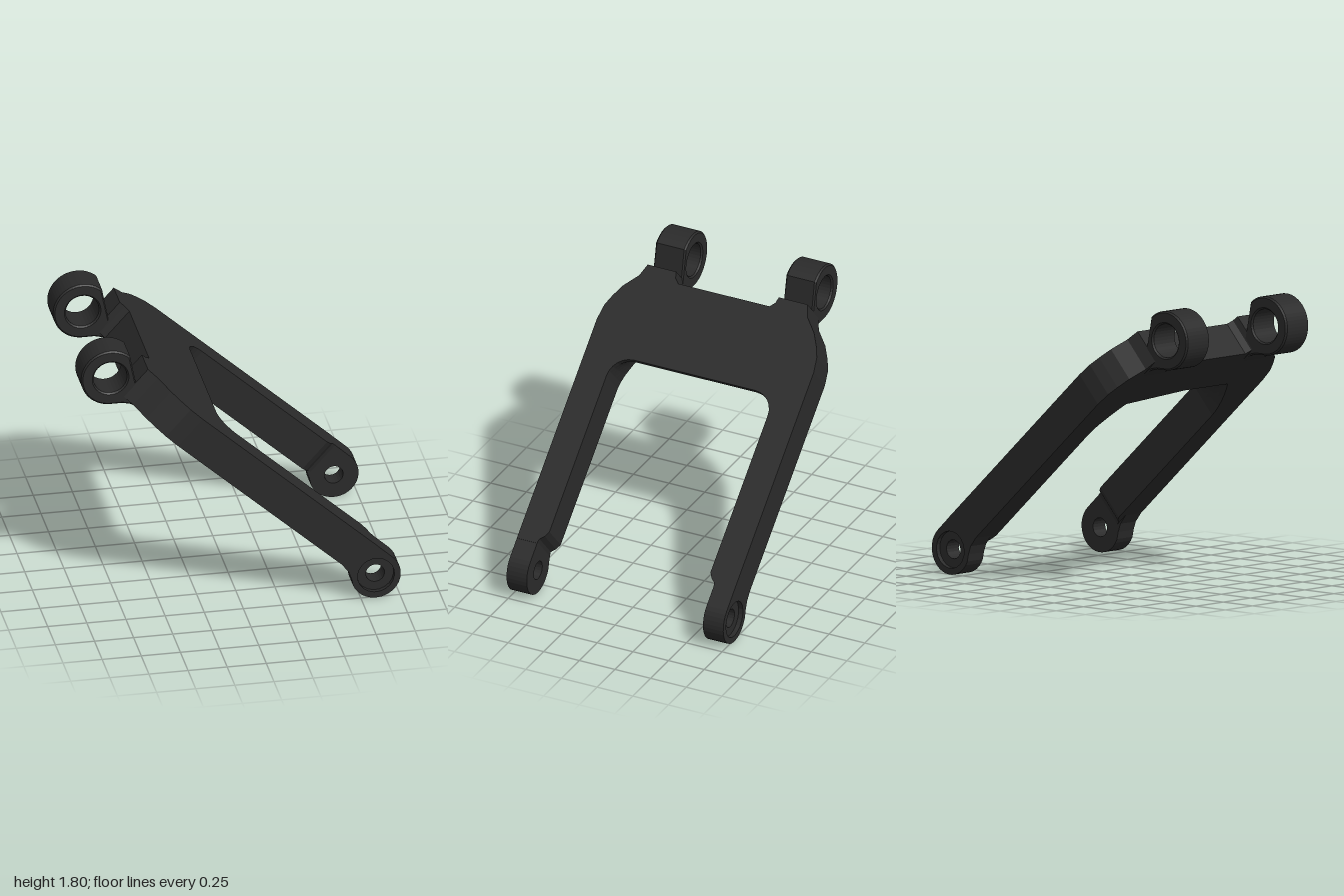
import * as THREE from 'three';

const material = new THREE.MeshStandardMaterial({ color: 0x2a2a2a, flatShading: true });

// Arm frame: x runs down the slope, y is normal to the slab, z is across.
const TOP = 0.85, BOTTOM = 0.615, SLOPE = -0.735;
const UPPER = { x: -1.692, y: 0.662, r: 0.187, bore: 0.107 };
const LOWER = { x: 0.516, y: 0.69, r: 0.158, bore: 0.06, recess: 0.118 };

function add(parent, name, geometry) {
  const mesh = new THREE.Mesh(geometry, material);
  mesh.name = name;
  parent.add(mesh);
  return mesh;
}

// Extrudes a side outline across z between z0 and z1, mirrored when side is -1
function acrossZ(shape, z0, z1, side, bevel = 0, curveSegments = 16) {
  const geometry = new THREE.ExtrudeGeometry(shape, {
    depth: z1 - z0 - 2 * bevel, curveSegments,
    bevelEnabled: bevel > 0, bevelSize: bevel, bevelThickness: bevel,
    bevelOffset: -bevel, bevelSegments: 1,
  });
  return geometry.translate(0, 0, (side > 0 ? z0 : -z1) + bevel);
}

function bore(shape, end, radius) {
  const hole = new THREE.Path();
  hole.absarc(end.x, end.y, radius, 0, Math.PI * 2, true);
  shape.holes.push(hole);
  return shape;
}

// U-shaped plan: two arms, rounded shoulders and the bridge
function frameGeometry() {
  const edge = -0.916, inner = 0.565, r = 0.14;
  const half = [
    [-1.468, 0.32], [-1.5, 0.35], [-1.54, 0.36], [-1.54, 0.56], [-1.46, 0.59],
    [-1.37, 0.67], [-1.29, 0.715], [-1.22, 0.745], [-1.12, 0.76],
    [0.39, 0.76], [0.39, 0.62], [0.36, 0.612], [0.335, 0.585], [0.3, inner],
  ];
  for (let i = 0; i <= 6; i++) {
    const a = (i / 6) * Math.PI / 2;
    half.push([edge + r - r * Math.sin(a), inner - r + r * Math.cos(a)]);
  }
  const outline = [...half, ...half.map(([x, z]) => [x, -z]).reverse()];
  const shape = new THREE.Shape(outline.map(([x, z]) => new THREE.Vector2(x, z)));
  const geometry = new THREE.ExtrudeGeometry(shape, { depth: TOP - BOTTOM, steps: 6, bevelEnabled: false });
  geometry.rotateX(Math.PI / 2).translate(0, TOP, 0);

  // Undercut the bridge's inner edge below a narrow lip
  const p = geometry.attributes.position;
  for (let i = 0; i < p.count; i++) {
    const x = p.getX(i), z = Math.abs(p.getZ(i));
    if (x < edge - 0.01 || x > edge + r + 0.01 || z > inner + 0.01) continue;
    const depth = Math.max(0, TOP - 0.039 - p.getY(i));
    const weight = THREE.MathUtils.clamp((inner - z) / r, 0, 1);
    p.setX(i, x - depth * 1.1 * weight);
  }
  geometry.computeVertexNormals();
  return geometry;
}

// Eye at the upper end, blending into the slab
function upperEye() {
  const shape = new THREE.Shape();
  shape.moveTo(-1.38, TOP);
  shape.absarc(UPPER.x, UPPER.y, UPPER.r, Math.PI / 2, Math.PI * 1.73, false);
  shape.lineTo(-1.51, 0.575);
  shape.lineTo(-1.46, 0.602);
  shape.lineTo(-1.38, BOTTOM);
  return bore(shape, UPPER, UPPER.bore);
}

// Eye at the arm tip, with a hole of the given radius
function lowerEye(radius) {
  const shape = new THREE.Shape();
  shape.moveTo(0.29, BOTTOM);
  shape.lineTo(0.36, 0.602);
  shape.lineTo(0.41, 0.575);
  shape.absarc(LOWER.x, LOWER.y, LOWER.r, -Math.PI * 0.64, Math.PI / 2, false);
  shape.lineTo(0.29, TOP);
  return bore(shape, LOWER, radius);
}

export function createModel() {
  const model = new THREE.Group();
  model.name = 'forkedArm';
  const arm = new THREE.Group();
  arm.name = 'slopedArm';
  arm.rotation.z = SLOPE;
  model.add(arm);

  add(arm, 'frame', frameGeometry());
  for (const side of [1, -1]) {
    const label = side > 0 ? 'left' : 'right';
    add(arm, label + 'UpperEye', acrossZ(upperEye(), 0.352, 0.562, side, 0.01));
    add(arm, label + 'LowerEye', acrossZ(lowerEye(LOWER.bore), 0.618, 0.73, side, 0, 10));
    add(arm, label + 'LowerEyeRecess', acrossZ(lowerEye(LOWER.recess), 0.73, 0.76, side, 0, 10));
  }
  return model;
}
